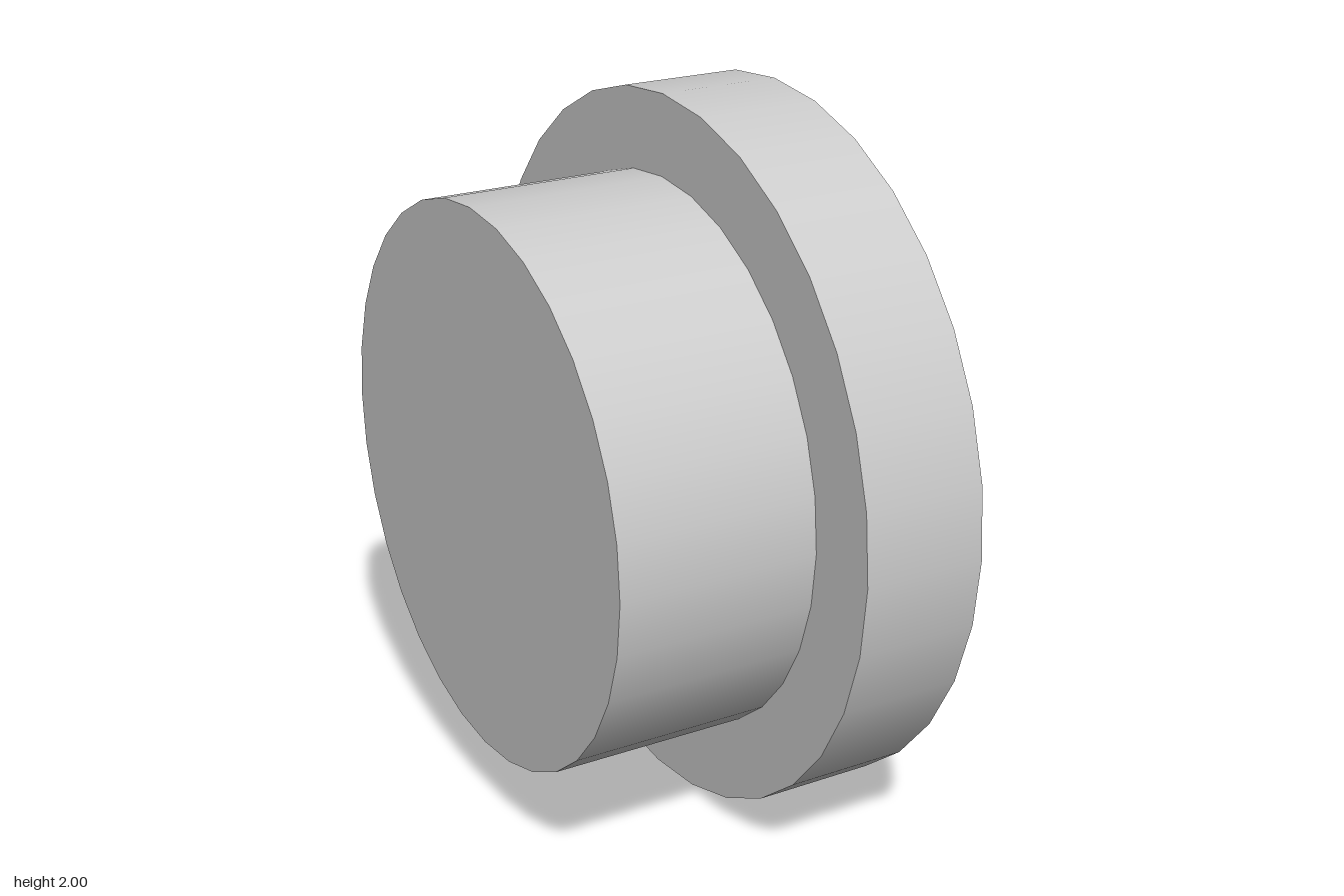
import * as THREE from 'three';

const SIDES = 32;

export function createModel() {
  const group = new THREE.Group();
  group.name = 'flangedPlug';
  const material = new THREE.MeshStandardMaterial({ color: 0xcccccc });

  // Disc lying along the x axis between two x positions
  const addDisc = (name, radius, x0, x1) => {
    const geometry = new THREE.CylinderGeometry(radius, radius, x1 - x0, SIDES);
    geometry.rotateZ(-Math.PI / 2);
    const mesh = new THREE.Mesh(geometry, material);
    mesh.name = name;
    mesh.position.set((x0 + x1) / 2, 1, 0);
    group.add(mesh);
  };

  addDisc('flange', 1, 0.108, 0.453); // wide rim
  addDisc('hub', 0.777, -0.453, 0.108); // narrower body

  return group;
}
